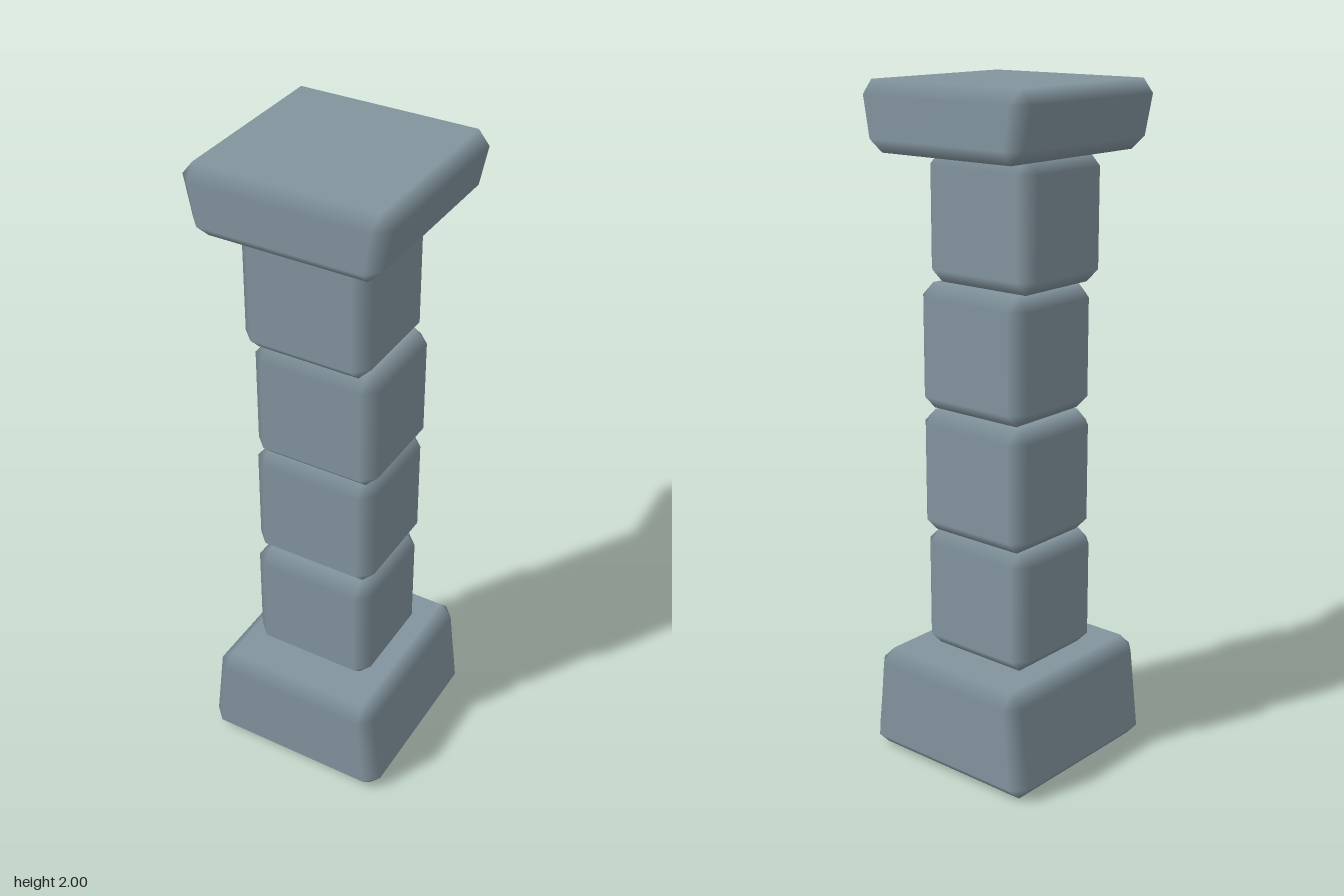
import * as THREE from 'three';
import { ConvexGeometry } from 'three/addons/geometries/ConvexGeometry.js';

const BEVEL = 0.04;
const stone = new THREE.MeshStandardMaterial({ color: 0x82949e });

// Box with single-step chamfers and soft-shaded edges.
// bottomScale and topScale taper the width (x) along the height.
function stoneBlock(name, w, h, d, x, y, z, bottomScale = 1, topScale = 1) {
  const half = [w / 2, h / 2, d / 2];
  const points = [];
  for (const sx of [-1, 1]) for (const sy of [-1, 1]) for (const sz of [-1, 1]) {
    const sign = [sx, sy, sz];
    // each corner becomes three points, one on each adjoining face
    for (let face = 0; face < 3; face++) {
      points.push(new THREE.Vector3(
        ...sign.map((s, axis) => s * (half[axis] - (axis === face ? 0 : BEVEL)))));
    }
  }
  const geometry = new ConvexGeometry(points);
  const pos = geometry.attributes.position;
  const nor = geometry.attributes.normal;
  const slope = half[0] * (topScale - bottomScale) / h;
  const n = new THREE.Vector3();
  for (let i = 0; i < pos.count; i++) {
    const p = [pos.getX(i), pos.getY(i), pos.getZ(i)];
    // the normal follows the flat face that the point lies on
    const face = p.findIndex((v, axis) => Math.abs(v) > half[axis] - BEVEL / 2);
    n.set(0, 0, 0).setComponent(face, Math.sign(p[face]));
    if (face === 0) n.y = -slope;
    n.normalize();
    nor.setXYZ(i, n.x, n.y, n.z);
    pos.setX(i, p[0] * THREE.MathUtils.lerp(bottomScale, topScale, p[1] / h + 0.5));
  }
  const mesh = new THREE.Mesh(geometry, stone);
  mesh.name = name;
  mesh.position.set(x, y + h / 2, z);
  return mesh;
}

export function createModel() {
  const pillar = new THREE.Group();
  pillar.name = 'stonePillar';

  // Base, narrowing upwards
  pillar.add(stoneBlock('base', 0.6, 0.324, 0.6, 0, 0, 0, 1.015, 0.89));

  // Shaft blocks, each nudged slightly off centre
  const offsets = [[-0.003, 0], [-0.003, -0.012], [0.01, 0], [-0.003, 0.024]];
  offsets.forEach(([x, z], i) => {
    pillar.add(stoneBlock(`shaftBlock${i + 1}`, 0.39, 0.37, 0.35, x, 0.324 + i * 0.37, z));
  });

  // Capital, widening upwards
  pillar.add(stoneBlock('capital', 0.6, 0.196, 0.6, 0, 1.804, 0, 0.89, 1.025));
  return pillar;
}
